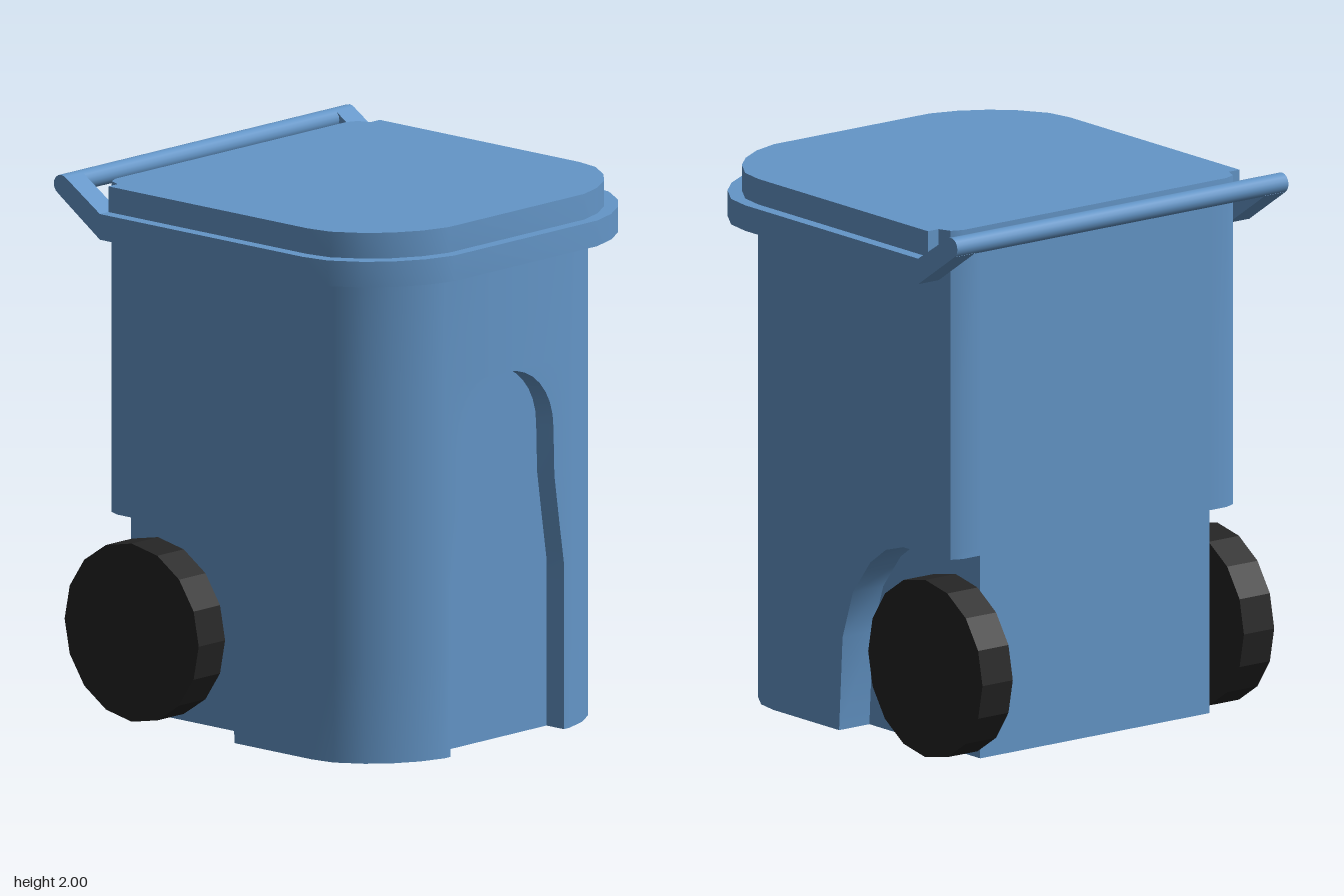
import * as THREE from 'three';
import { toCreasedNormals } from 'three/addons/utils/BufferGeometryUtils.js';

const BACK = -0.63, FRONT = 0.73, SIDE = 0.67, NICHE_X = 0.53, NICHE_Z = 0.645;

// Unit front-corner curve, from the side (1,0) to the front (0,1)
const CORNER = [[1, 0], [0.95, 0.27], [0.77, 0.55], [0.56, 0.75], [0.29, 0.91], [0, 1]];
const corner = (x, z, r) => CORNER.map(([u, v]) => [x - r + u * r, z - r + v * r]);

// Rounded rear corner of the body
const REAR = [[SIDE, -0.57], [0.652, -0.612], [0.61, BACK], [NICHE_X, BACK]];

// Piecewise-linear lookup in [key, value] pairs
function lerpTable(table, y) {
  for (let i = 1; i < table.length; i++) {
    const [y0, v0] = table[i - 1], [y1, v1] = table[i];
    if (y <= y1) return v0 + (v1 - v0) * (y - y0) / (y1 - y0);
  }
  return table[table.length - 1][1];
}

// Half width of the front niche by height: wide foot, taper, round top
const ARCH_Y = 1.13, ARCH_R = 0.245;
const nicheTable = [[0, 0.3], [0.62, 0.3], [0.78, 0.275], [0.95, 0.25], [ARCH_Y, ARCH_R]];
for (let i = 1; i <= 8; i++) {
  const a = i / 8 * Math.PI / 2;
  nicheTable.push([ARCH_Y + ARCH_R * Math.sin(a), i === 8 ? 0 : ARCH_R * Math.cos(a)]);
}
// Front edge of the wheel arch by height
const archTable = [[0, 0.01], [0.35, -0.01], [0.53, -0.07], [0.66, -0.17], [0.725, -0.26], [0.755, -0.36]];

// Closed body outline at one level, counter-clockwise from above
function bodyOutline(y, hasNiche, hasArch) {
  const w = hasNiche ? lerpTable(nicheTable, y) : 0;
  const zIn = hasNiche ? NICHE_Z : FRONT;
  const half = [[0, zIn], [w, zIn], [w, FRONT], ...corner(SIDE, FRONT, 0.34).reverse()];
  if (hasArch) {
    const zA = lerpTable(archTable, y);
    half.push([SIDE, zA], [NICHE_X, zA], [NICHE_X, (zA + BACK) / 2], [NICHE_X, BACK]);
  } else half.push(...REAR);
  half.push([0, BACK]);
  const mirrored = half.slice(1, -1).reverse().map(([x, z]) => [-x, z]);
  return [...half, ...mirrored];
}

function bodyGeometry() {
  const archTop = 0.755, nicheTop = ARCH_Y + ARCH_R;
  const levels = [...new Set([...nicheTable, ...archTable].map(k => k[0]))].sort((a, b) => a - b);
  const rows = [];
  for (const y of levels) {
    if (y <= archTop) rows.push({ y, pts: bodyOutline(y, true, true) });
    if (y >= archTop) rows.push({ y, pts: bodyOutline(y, true, false) });
  }
  for (const y of [nicheTop, 1.885]) rows.push({ y, pts: bodyOutline(y, false, false) });

  const pos = [];
  const put = (row, i) => pos.push(row.pts[i][0], row.y, row.pts[i][1]);
  for (let k = 0; k + 1 < rows.length; k++) {
    const lo = rows[k], hi = rows[k + 1], n = lo.pts.length;
    for (let i = 0; i < n; i++) {
      const j = (i + 1) % n;
      put(lo, i); put(lo, j); put(hi, j);
      put(lo, i); put(hi, j); put(hi, i);
    }
  }
  // Floor
  const contour = rows[0].pts.map(([x, z]) => new THREE.Vector2(x, -z));
  for (const [a, b, c] of THREE.ShapeUtils.triangulateShape(contour, [])) {
    put(rows[0], a); put(rows[0], c); put(rows[0], b);
  }
  const g = new THREE.BufferGeometry();
  g.setAttribute('position', new THREE.Float32BufferAttribute(pos, 3));
  return toCreasedNormals(g, 0.6);
}

// Slab from the right half of a plan outline (front to back), mirrored
function slab(half, y0, y1) {
  const all = [...half, ...[...half].reverse().map(([x, z]) => [-x, z])];
  const shape = new THREE.Shape(all.map(([x, z]) => new THREE.Vector2(x, -z)));
  const g = new THREE.ExtrudeGeometry(shape, { depth: y1 - y0, bevelEnabled: false });
  g.rotateX(-Math.PI / 2).translate(0, y0, 0);
  return toCreasedNormals(g, 0.6);
}

export function createModel() {
  const blue = new THREE.MeshStandardMaterial({ color: 0x6496c8 });
  blue.name = 'blue plastic';
  const black = new THREE.MeshStandardMaterial({ color: 0x242424 });
  black.name = 'black rubber';

  const model = new THREE.Group();
  model.name = 'wheeledBin';
  const add = (name, geometry, material) => {
    const mesh = new THREE.Mesh(geometry, material);
    mesh.name = name;
    model.add(mesh);
    return mesh;
  };

  add('body', bodyGeometry(), blue);

  // Rim ends just before the rear corners; the lid carries on to the back wall
  add('rim', slab([...corner(0.765, 0.82, 0.385).reverse(), [0.765, -0.565]], 1.79, 1.885), blue);
  add('lid', slab([...corner(0.72, 0.775, 0.36).reverse(), [0.72, -0.565], [SIDE, -0.565],
    ...REAR.slice(1, 3)], 1.885, 1.98), blue);

  // Handle arms rising back from the rim, and the bar between them
  const barY = 1.963, barZ = -0.755, barR = 0.037;
  const armShape = new THREE.Shape([[-0.565, 1.79], [-0.565, 1.885], [-0.735, 1.994],
    [barZ, barY], [-0.775, 1.932]].map(([z, y]) => new THREE.Vector2(z, y)));
  const armGeo = new THREE.ExtrudeGeometry(armShape, { depth: 0.095, bevelEnabled: false });
  armGeo.rotateY(-Math.PI / 2);
  add('leftHandleArm', armGeo, blue).position.x = 0.765;
  add('rightHandleArm', armGeo, blue).position.x = -0.67;
  const barGeo = new THREE.CylinderGeometry(barR, barR, 1.53, 16).rotateZ(Math.PI / 2);
  add('handleBar', barGeo, blue).position.set(0, barY, barZ);

  // Wheels sit inside the arches
  const wheelGeo = toCreasedNormals(
    new THREE.CylinderGeometry(0.33, 0.33, 0.14, 16).rotateZ(Math.PI / 2), 0.3);
  for (const [name, s] of [['leftWheel', 1], ['rightWheel', -1]]) {
    add(name, wheelGeo, black).position.set(s * 0.604, 0.33, -0.493);
  }
  return model;
}
